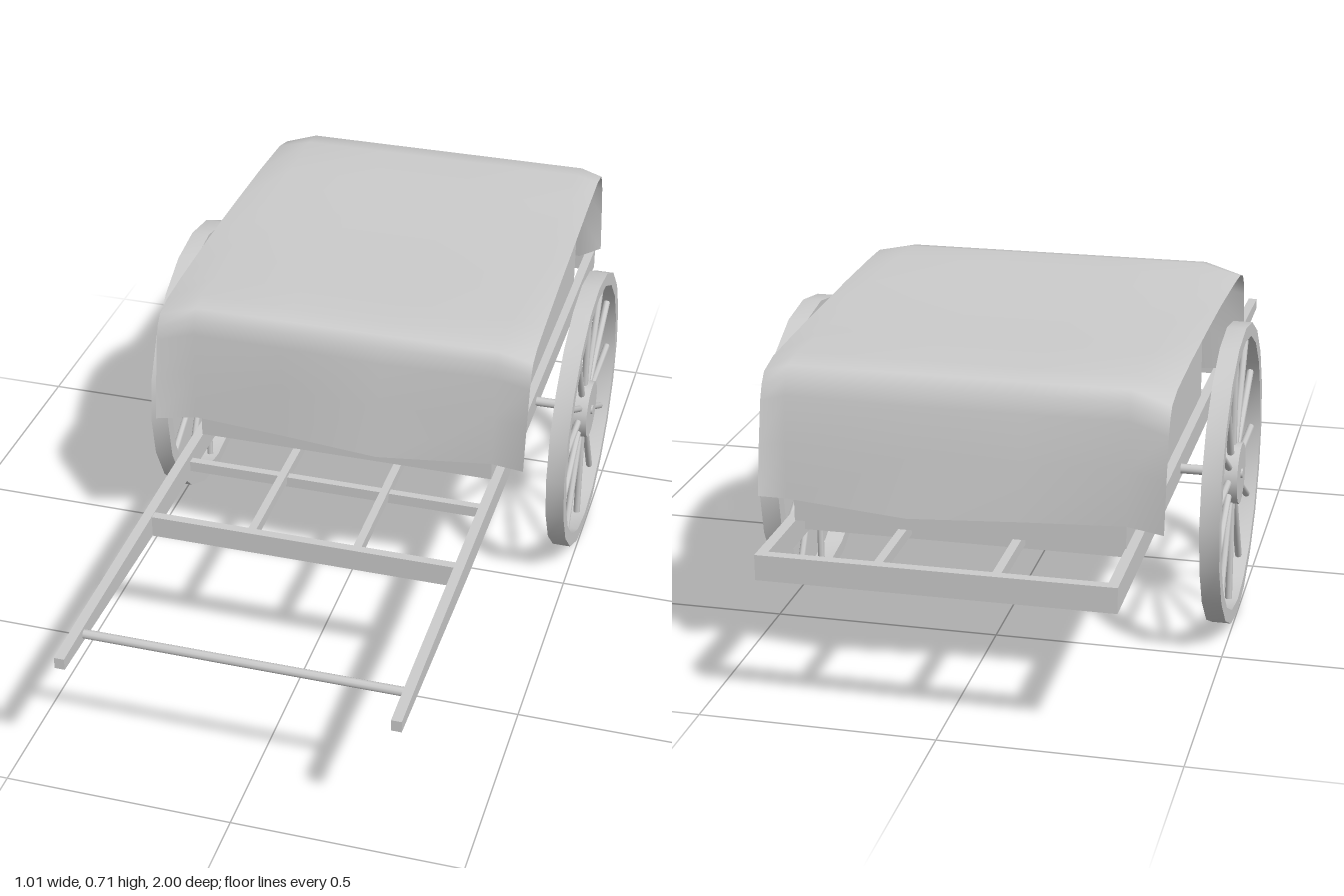
import * as THREE from 'three';
import { toCreasedNormals } from 'three/addons/utils/BufferGeometryUtils.js';

const grey = new THREE.MeshStandardMaterial({ color: 0xcccccc });
const cloth = new THREE.MeshStandardMaterial({ color: 0xcccccc, side: THREE.DoubleSide });
const AXLE_Y = 0.333, AXLE_Z = -0.26;

function add(parent, name, geometry, x = 0, y = 0, z = 0, material = grey) {
  const mesh = new THREE.Mesh(geometry, material);
  mesh.name = name;
  mesh.position.set(x, y, z);
  parent.add(mesh);
  return mesh;
}

const box = (w, h, d) => new THREE.BoxGeometry(w, h, d);
const rodX = (r, length, sides) => new THREE.CylinderGeometry(r, r, length, sides).rotateZ(Math.PI / 2);

// Wheel in the YZ plane: faceted rim, hub and twelve spokes
function createWheel() {
  const wheel = new THREE.Group();
  wheel.name = 'wheel';
  const ring = new THREE.Shape().absarc(0, 0, 0.333, 0, Math.PI * 2);
  ring.holes.push(new THREE.Path().absarc(0, 0, 0.303, 0, Math.PI * 2, true));
  const rim = new THREE.ExtrudeGeometry(ring, { depth: 0.042, bevelEnabled: false, curveSegments: 10 });
  rim.translate(0, 0, -0.021).rotateY(Math.PI / 2);
  add(wheel, 'rim', toCreasedNormals(rim, 0.6));
  add(wheel, 'hub', rodX(0.068, 0.04, 20));
  for (let i = 0; i < 12; i++) {
    const a = (i * Math.PI) / 6;
    const spoke = new THREE.CylinderGeometry(0.008, 0.008, 0.26, 8).translate(0, 0.18, 0).rotateX(a);
    add(wheel, 'spoke', spoke);
  }
  return wheel;
}

// Side rail that narrows into a shaft at the front
function createRail() {
  const side = new THREE.Shape([
    [-1, 0.312], [0.45, 0.312], [1, 0.33], [1, 0.356], [0.85, 0.36], [0.3, 0.366], [-1, 0.366],
  ].map(([z, y]) => new THREE.Vector2(z, y)));
  return new THREE.ExtrudeGeometry(side, { depth: 0.022, bevelEnabled: false })
    .translate(0, 0, -0.011).rotateY(-Math.PI / 2);
}

// Sheet draped over the load, hanging at front and back only
function createCover() {
  const profile = [ // z, y from back hem to front hem
    [-0.835, 0.42], [-0.832, 0.54], [-0.826, 0.64], [-0.817, 0.675], [-0.80, 0.697], [-0.74, 0.706],
    [-0.58, 0.703], [-0.4, 0.7], [-0.2, 0.702], [0, 0.705], [0.09, 0.706], [0.137, 0.697],
    [0.153, 0.675], [0.158, 0.64], [0.162, 0.54], [0.165, 0.42],
  ];
  const columns = [ // x at back, x at front, flap swing, hem lift, edge droop
    [-0.43, -0.438, 0.032, 0.005, 0.03], [-0.35, -0.35, 0.004, 0.006, 0],
    [-0.14, -0.14, 0.018, 0.002, 0], [0.09, 0.09, 0.036, -0.004, 0],
    [0.35, 0.35, 0.006, 0.005, 0], [0.4, 0.428, 0.036, 0.018, 0.018],
  ];
  const geo = new THREE.PlaneGeometry(1, 1, columns.length - 1, profile.length - 1);
  const pos = geo.attributes.position;
  for (let i = 0; i < pos.count; i++) {
    const [z, y] = profile[Math.floor(i / columns.length)];
    const [xBack, xFront, swing, lift, droop] = columns[i % columns.length];
    const t = THREE.MathUtils.clamp((z + 0.83) / 0.99, 0, 1);
    const hang = THREE.MathUtils.clamp((0.69 - y) / 0.27, 0, 1);
    const out = z > -0.33 ? 1 : -1;
    const sag = droop * (0.2 + 0.8 * (2 * t - 1) ** 2) * (1 - hang);
    pos.setXYZ(i, THREE.MathUtils.lerp(xBack, xFront, t), y - sag + lift * hang, z + out * swing * hang);
  }
  geo.computeVertexNormals();
  return geo;
}

export function createModel() {
  const cart = new THREE.Group();
  cart.name = 'handcart';

  // Running gear
  add(cart, 'axle', rodX(0.011, 1.006, 12), 0, AXLE_Y, AXLE_Z);
  for (const s of [1, -1]) {
    const wheel = createWheel();
    wheel.position.set(s * 0.479, AXLE_Y, AXLE_Z);
    cart.add(wheel);
    add(cart, 'sideRail', createRail(), s * 0.354);
  }

  // Frame grid
  add(cart, 'rearBeam', box(0.7, 0.054, 0.022), 0, 0.339, -0.989);
  for (const z of [-0.745, -0.5, -0.26, -0.015, 0.23]) {
    add(cart, 'crossBar', box(0.7, 0.025, 0.018), 0, 0.336, z);
  }
  add(cart, 'frontBeam', box(0.7, 0.05, 0.02), 0, 0.338, 0.48);
  for (const x of [-0.118, 0.122]) {
    add(cart, 'slat', box(0.018, 0.025, 1.47), x, 0.345, -0.255);
  }
  add(cart, 'pullBar', rodX(0.01, 0.7, 10), 0, 0.342, 0.893);

  // Load and cover
  add(cart, 'cargoBox', box(0.69, 0.315, 0.955), 0, 0.5235, -0.3325);
  add(cart, 'cover', createCover(), 0, 0, 0, cloth);
  return cart;
}
